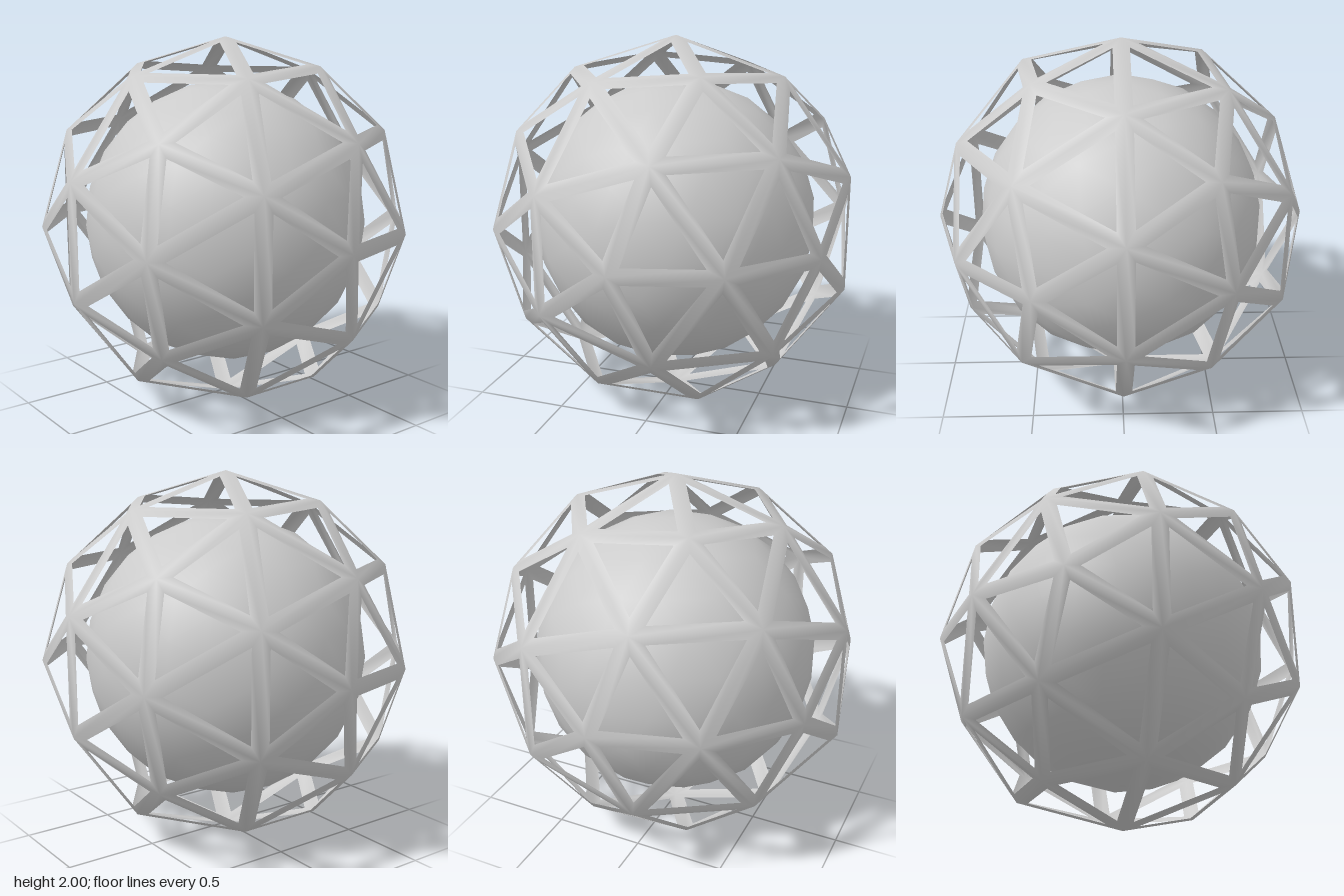
import * as THREE from 'three';
import { mergeVertices } from 'three/addons/utils/BufferGeometryUtils.js';

// Icosahedron with its five-fold axis along z, as a list of outward triangles
function icosahedron() {
  const s = 2 / Math.sqrt(5), c = 1 / Math.sqrt(5);
  const ring = (k, off, z) => {
    const a = (k * 72 + off) * Math.PI / 180;
    return new THREE.Vector3(s * Math.cos(a), s * Math.sin(a), z);
  };
  const front = new THREE.Vector3(0, 0, 1), back = new THREE.Vector3(0, 0, -1);
  const faces = [];
  for (let k = 0; k < 5; k++) {
    const a = ring(k, 0, c), a2 = ring(k + 1, 0, c);
    const b = ring(k, 36, -c), b2 = ring(k + 1, 36, -c);
    faces.push([front, a, a2], [a, b, a2], [b, b2, a2], [back, b2, b]);
  }
  return faces;
}

// Split every triangle in four and push the new points onto the unit sphere
function subdivide(faces) {
  const mid = (p, q) => p.clone().add(q).normalize();
  return faces.flatMap(([a, b, c]) => {
    const ab = mid(a, b), bc = mid(b, c), ca = mid(c, a);
    return [[a, ab, ca], [ab, b, bc], [ca, bc, c], [ab, bc, ca]];
  });
}

// Replace a triangle by a rim of constant width around a triangular hole
function rim([a, b, c], width) {
  const la = b.distanceTo(c), lb = c.distanceTo(a), lc = a.distanceTo(b);
  const per = la + lb + lc;
  const area = new THREE.Triangle(a, b, c).getArea();
  const centre = new THREE.Vector3()
    .addScaledVector(a, la / per)
    .addScaledVector(b, lb / per)
    .addScaledVector(c, lc / per);
  const t = width / (2 * area / per);
  const outer = [a, b, c];
  const inner = outer.map((p) => p.clone().lerp(centre, t));
  const tris = [];
  for (let i = 0; i < 3; i++) {
    const j = (i + 1) % 3;
    tris.push([outer[i], outer[j], inner[j]], [outer[i], inner[j], inner[i]]);
  }
  return tris;
}

// Smooth-shaded geometry from a list of triangles
function smoothGeometry(tris) {
  const raw = new THREE.BufferGeometry().setFromPoints(tris.flat());
  const geo = mergeVertices(raw, 1e-4);
  geo.computeVertexNormals();
  return geo;
}

export function createModel() {
  const group = new THREE.Group();
  group.name = 'cagedSphere';
  const domeFaces = subdivide(icosahedron());

  // Thin geodesic lattice
  const cage = new THREE.Mesh(
    smoothGeometry(domeFaces.flatMap((f) => rim(f, 0.044))),
    new THREE.MeshStandardMaterial({ color: 0xcccccc, side: THREE.DoubleSide })
  );
  cage.name = 'geodesicCage';

  // Solid ball inside
  const core = new THREE.Mesh(
    smoothGeometry(subdivide(domeFaces)),
    new THREE.MeshStandardMaterial({ color: 0xcccccc })
  );
  core.name = 'innerSphere';
  core.scale.setScalar(0.767);

  for (const part of [cage, core]) {
    part.position.y = 1;
    group.add(part);
  }
  return group;
}
